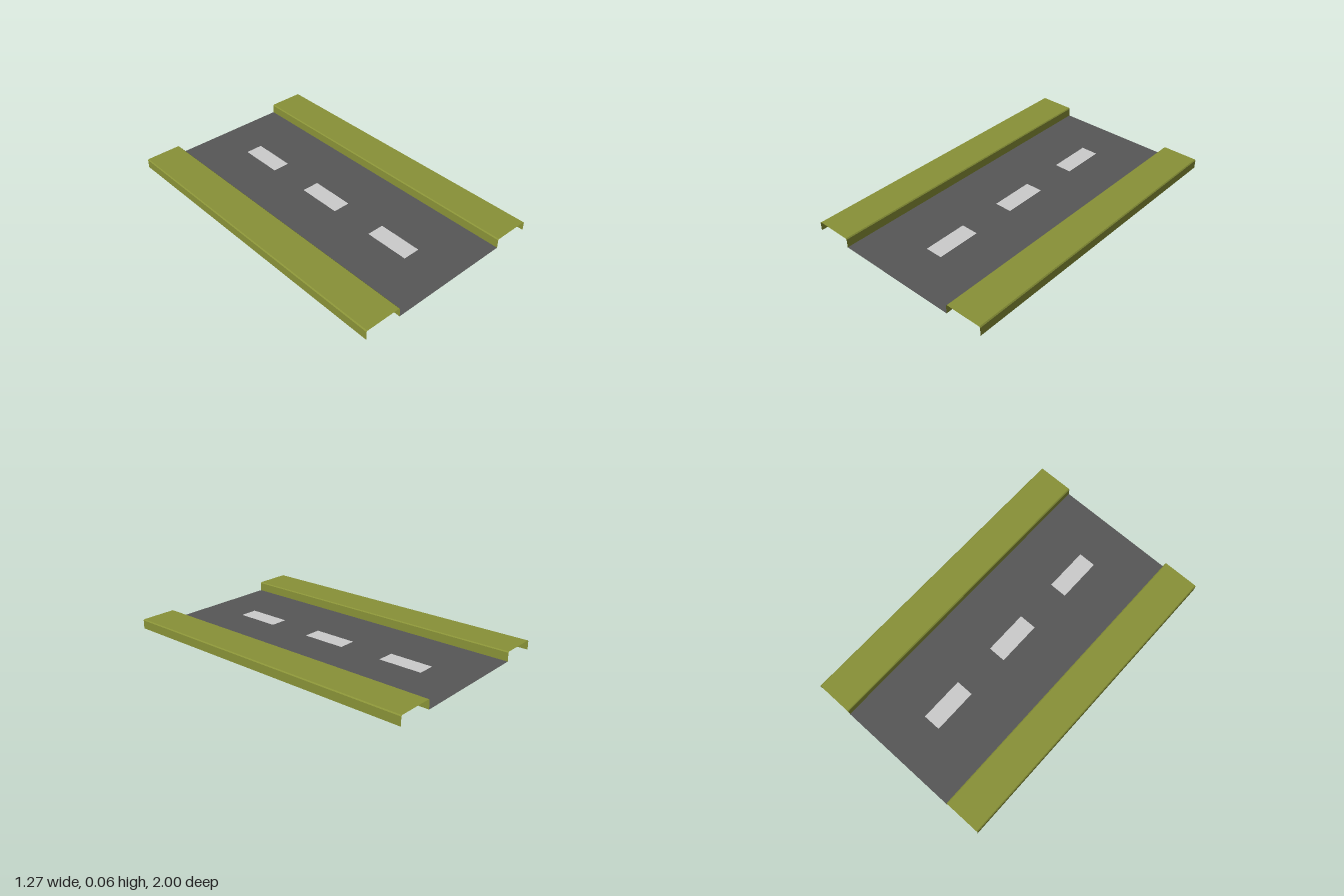
import * as THREE from 'three';

const HALF_LENGTH = 1, ROAD_HALF = 0.397, OUTER = 0.634, HEIGHT = 0.06, BEVEL = 0.006;
const DASH_HALF = 0.056, DASH_LENGTH = 2 / 7;

const material = (color) =>
  new THREE.MeshStandardMaterial({ color, side: THREE.DoubleSide, flatShading: true });

// Adds a closed rectangle to a shape or path
function rect(path, halfWidth, z0, z1) {
  path.moveTo(-halfWidth, z0);
  path.lineTo(halfWidth, z0);
  path.lineTo(halfWidth, z1);
  path.lineTo(-halfWidth, z1);
  path.closePath();
  return path;
}

// Sweeps an open x/y profile along the full length of the road
function sweep(profile) {
  const positions = [];
  for (let i = 0; i < profile.length - 1; i++) {
    const [x1, y1] = profile[i], [x2, y2] = profile[i + 1];
    const a = [x1, y1, HALF_LENGTH], b = [x2, y2, HALF_LENGTH];
    const c = [x2, y2, -HALF_LENGTH], d = [x1, y1, -HALF_LENGTH];
    positions.push(...a, ...b, ...c, ...a, ...c, ...d);
  }
  const geometry = new THREE.BufferGeometry();
  geometry.setAttribute('position', new THREE.Float32BufferAttribute(positions, 3));
  geometry.computeVertexNormals();
  return geometry;
}

export function createModel() {
  const model = new THREE.Group();
  model.name = 'roadSection';
  const add = (name, geometry, mat) => {
    const mesh = new THREE.Mesh(geometry, mat);
    mesh.name = name;
    model.add(mesh);
    return mesh;
  };

  // Flat asphalt sheet with the lane dashes inlaid at the same level
  const asphalt = material(0x575757), paint = material(0xcccccc), grass = material(0x889137);
  const road = rect(new THREE.Shape(), ROAD_HALF, -HALF_LENGTH, HALF_LENGTH);
  for (const i of [-1, 0, 1]) {
    const centre = i * 2 * DASH_LENGTH;
    const z0 = centre - DASH_LENGTH / 2, z1 = centre + DASH_LENGTH / 2;
    road.holes.push(rect(new THREE.Path(), DASH_HALF, z0, z1));
    const dash = rect(new THREE.Shape(), DASH_HALF, z0, z1);
    add('laneDash', new THREE.ShapeGeometry(dash).rotateX(-Math.PI / 2), paint);
  }
  add('roadSurface', new THREE.ShapeGeometry(road).rotateX(-Math.PI / 2), asphalt);

  // Hollow raised verges with a small bevel, open below and at the ends
  const verge = sweep([
    [ROAD_HALF, 0], [ROAD_HALF, HEIGHT - BEVEL], [ROAD_HALF + BEVEL, HEIGHT],
    [OUTER - BEVEL, HEIGHT], [OUTER, HEIGHT - BEVEL], [OUTER, 0],
  ]);
  add('leftVerge', verge, grass);
  add('rightVerge', verge, grass).rotation.y = Math.PI;

  return model;
}
